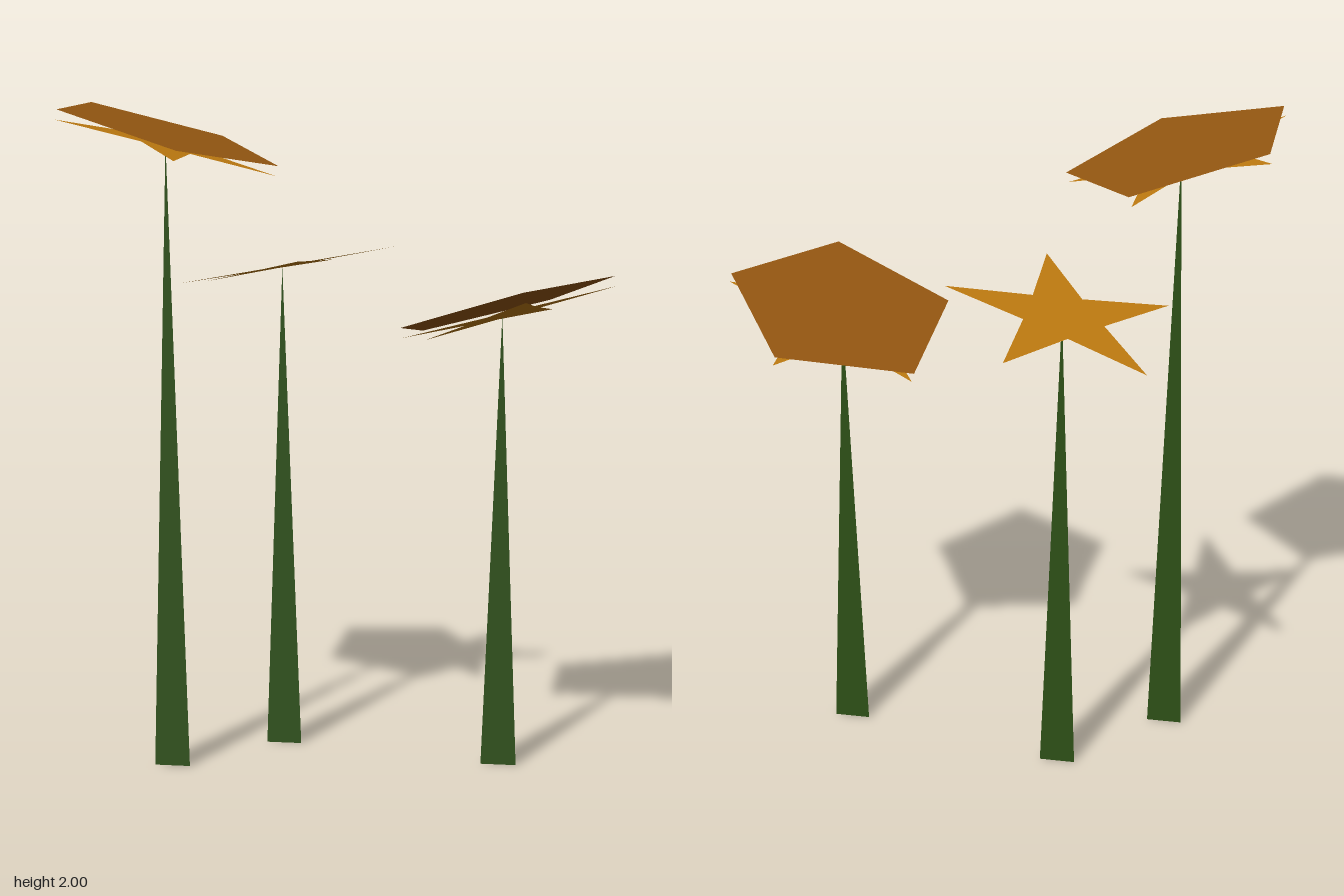
import * as THREE from 'three';

const material = (name, color) => {
  const m = new THREE.MeshStandardMaterial({ color, side: THREE.DoubleSide });
  m.name = name;
  return m;
};

// Closed outline of unit radius: a pentagon, or a star when inner < 1
function outline(inner) {
  const shape = new THREE.Shape();
  const n = inner ? 10 : 5;
  for (let i = 0; i < n; i++) {
    const r = inner && i % 2 ? inner : 1;
    const a = (i / n) * Math.PI * 2;
    if (i) shape.lineTo(r * Math.cos(a), r * Math.sin(a));
    else shape.moveTo(r, 0);
  }
  shape.closePath();
  return shape;
}

export function createModel() {
  const stemGreen = material('stem green', 0x2d5016);
  const amber = material('amber', 0xbf7b10);
  const brown = material('brown', 0x965811);
  const model = new THREE.Group();

  // Each head is spanned by two tilted radius vectors, a (towards +x) and b (towards +z)
  const flowers = [
    { name: 'tallFlower', at: [-0.526, 1.925, 0.143], a: [0.337, -0.095, 0], b: [0, 0, 0.361], disc: true },
    { name: 'starFlower', at: [-0.23, 1.503, -0.152], a: [0.345, 0.066, 0], b: [-0.004, 0.034, 0.354], disc: false },
    { name: 'leaningFlower', at: [0.457, 1.413, -0.01], a: [0.333, 0.0925, -0.015], b: [-0.015, 0.053, 0.3525], disc: true },
  ];

  for (const f of flowers) {
    const flower = new THREE.Group();
    flower.name = f.name;
    const [x, y, z] = f.at;
    const a = new THREE.Vector3(...f.a);
    const b = new THREE.Vector3(...f.b).negate();
    const up = a.clone().cross(b).normalize();
    const tilt = new THREE.Matrix4().makeBasis(a, b, up);

    const addLayer = (name, shape, mat, drop) => {
      const mesh = new THREE.Mesh(new THREE.ShapeGeometry(shape).applyMatrix4(tilt), mat);
      mesh.name = name;
      mesh.position.set(x, y, z).addScaledVector(up, -drop);
      flower.add(mesh);
    };

    // Star of petals, hanging just below the pentagon where there is one
    addLayer('starPetals', outline(0.357), amber, f.disc ? 0.03 : 0);
    if (f.disc) addLayer('pentagonPetals', outline(0), brown, 0);

    // Flat tapering stem ending at the head
    const blade = new THREE.Shape([
      new THREE.Vector2(-0.054, 0),
      new THREE.Vector2(0.054, 0),
      new THREE.Vector2(0, f.disc ? y - 0.03 : y),
    ]);
    const stem = new THREE.Mesh(new THREE.ShapeGeometry(blade), stemGreen);
    stem.name = 'stem';
    stem.position.set(x, 0, z);
    flower.add(stem);

    model.add(flower);
  }
  return model;
}
